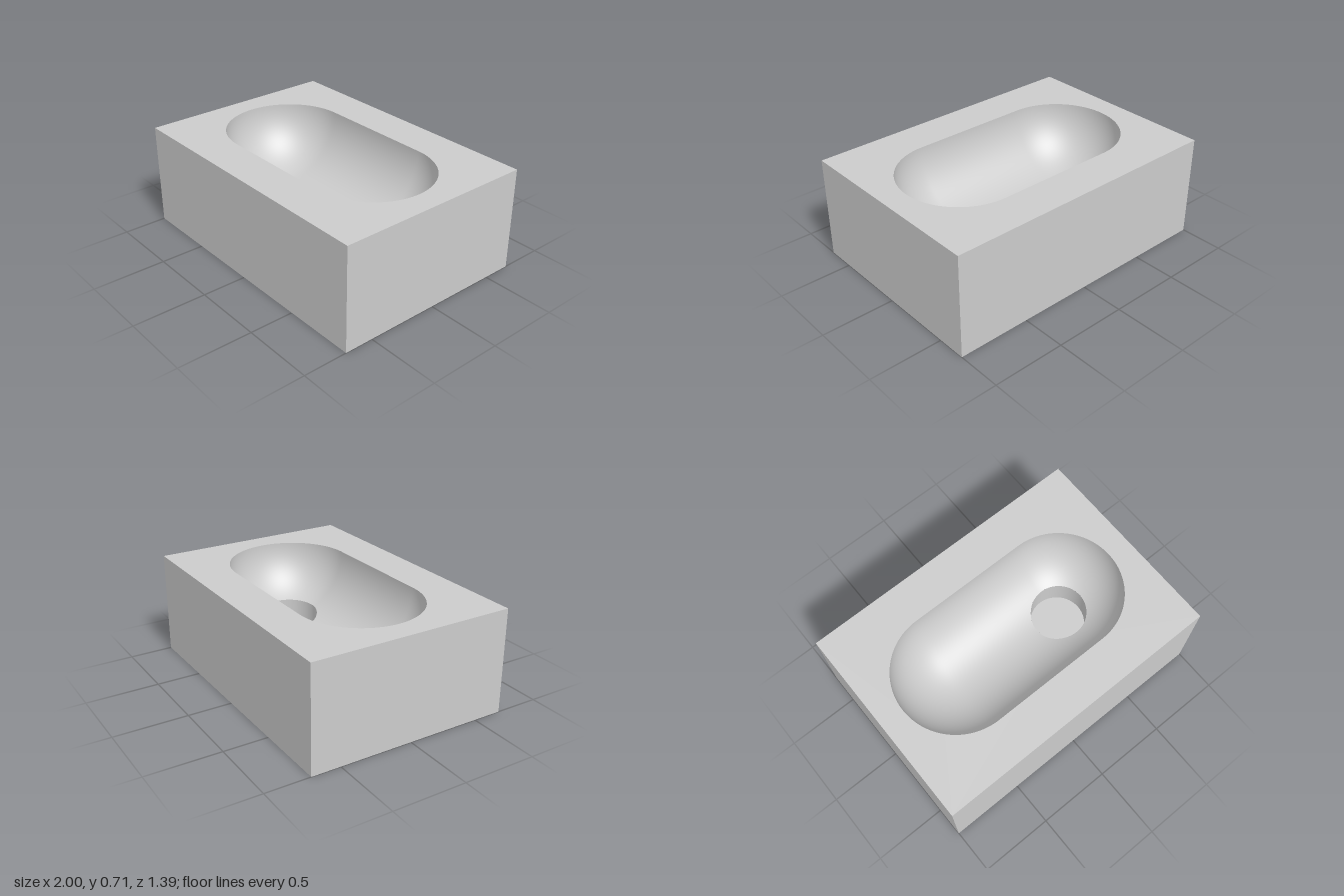
import * as THREE from 'three';

const W = 2, H = 0.713, D = 1.395;          // block
const R = 0.419, HALF = 0.419;              // basin radius, half length of its straight part
const DRAIN = { x: 0.437, r: 0.19, y: 0.15 };
const AROUND = 256, RINGS = 48;

function stadium(PathType) {
  const p = new PathType();
  p.moveTo(-HALF, -R);
  p.lineTo(HALF, -R);
  p.absarc(HALF, 0, R, -Math.PI / 2, Math.PI / 2, false);
  p.lineTo(-HALF, R);
  p.absarc(-HALF, 0, R, Math.PI / 2, Math.PI * 1.5, false);
  return p;
}

// Floor height of the capsule-shaped hollow
function floorY(x, z) {
  const d = Math.hypot(Math.max(Math.abs(x) - HALF, 0), z);
  return H - Math.sqrt(Math.max(R * R - d * d, 0));
}

// Rings blend from the drain circle out to the rim, dropped onto the hollow
function basinGeometry(rim) {
  const pos = [], index = [];
  for (let j = 0; j <= RINGS; j++) {
    const t = 1 - (1 - j / RINGS) ** 2;
    for (const p of rim) {
      const dx = p.x - DRAIN.x, len = Math.hypot(dx, p.y);
      const k = THREE.MathUtils.lerp(DRAIN.r / len, 1, t);
      const x = DRAIN.x + dx * k, z = -p.y * k;
      pos.push(x, j === RINGS ? H : floorY(x, z), z);
    }
  }
  const n = rim.length;
  for (let j = 0; j < RINGS; j++) {
    for (let i = 0; i < n; i++) {
      const i2 = (i + 1) % n;
      const a = j * n + i, b = a + n, c = (j + 1) * n + i2, d = j * n + i2;
      index.push(a, b, c, a, c, d);
    }
  }
  const g = new THREE.BufferGeometry();
  g.setAttribute('position', new THREE.Float32BufferAttribute(pos, 3));
  g.setIndex(index);
  g.computeVertexNormals();
  return g;
}

// Wall of the drain recess, from its flat bottom up to the curved floor
function drainWallGeometry() {
  const g = new THREE.CylinderGeometry(DRAIN.r, DRAIN.r, 1, 96, 1, true);
  g.translate(DRAIN.x, 0, 0);
  const p = g.attributes.position;
  for (let i = 0; i < p.count; i++) {
    p.setY(i, p.getY(i) > 0 ? floorY(p.getX(i), p.getZ(i)) : DRAIN.y);
  }
  return g;
}

export function createModel() {
  const group = new THREE.Group();
  const grey = new THREE.MeshStandardMaterial({ color: 0xcccccc });
  const inside = new THREE.MeshStandardMaterial({ color: 0xcccccc, side: THREE.DoubleSide });
  const add = (name, geometry, material = grey) => {
    const mesh = new THREE.Mesh(geometry, material);
    mesh.name = name;
    group.add(mesh);
    return mesh;
  };

  const rim = stadium(THREE.Path).getSpacedPoints(AROUND).slice(0, AROUND);

  // Block sides and underside: a box without its top face
  const block = new THREE.BoxGeometry(W, H, D).translate(0, H / 2, 0);
  const faces = Array.from(block.index.array);
  faces.splice(12, 6);
  block.setIndex(faces);
  block.clearGroups();
  add('block', block);

  // Top face around the basin opening
  const top = new THREE.Shape([
    new THREE.Vector2(-W / 2, -D / 2), new THREE.Vector2(W / 2, -D / 2),
    new THREE.Vector2(W / 2, D / 2), new THREE.Vector2(-W / 2, D / 2),
  ]);
  top.holes.push(new THREE.Path(rim));
  add('topFace', new THREE.ShapeGeometry(top).rotateX(-Math.PI / 2).translate(0, H, 0));

  add('basin', basinGeometry(rim), inside);

  // Drain recess in the floor at the left end
  add('drainWall', drainWallGeometry(), inside);
  add('drainBottom', new THREE.CircleGeometry(DRAIN.r, 96)
    .rotateX(-Math.PI / 2).translate(DRAIN.x, DRAIN.y, 0));

  return group;
}
